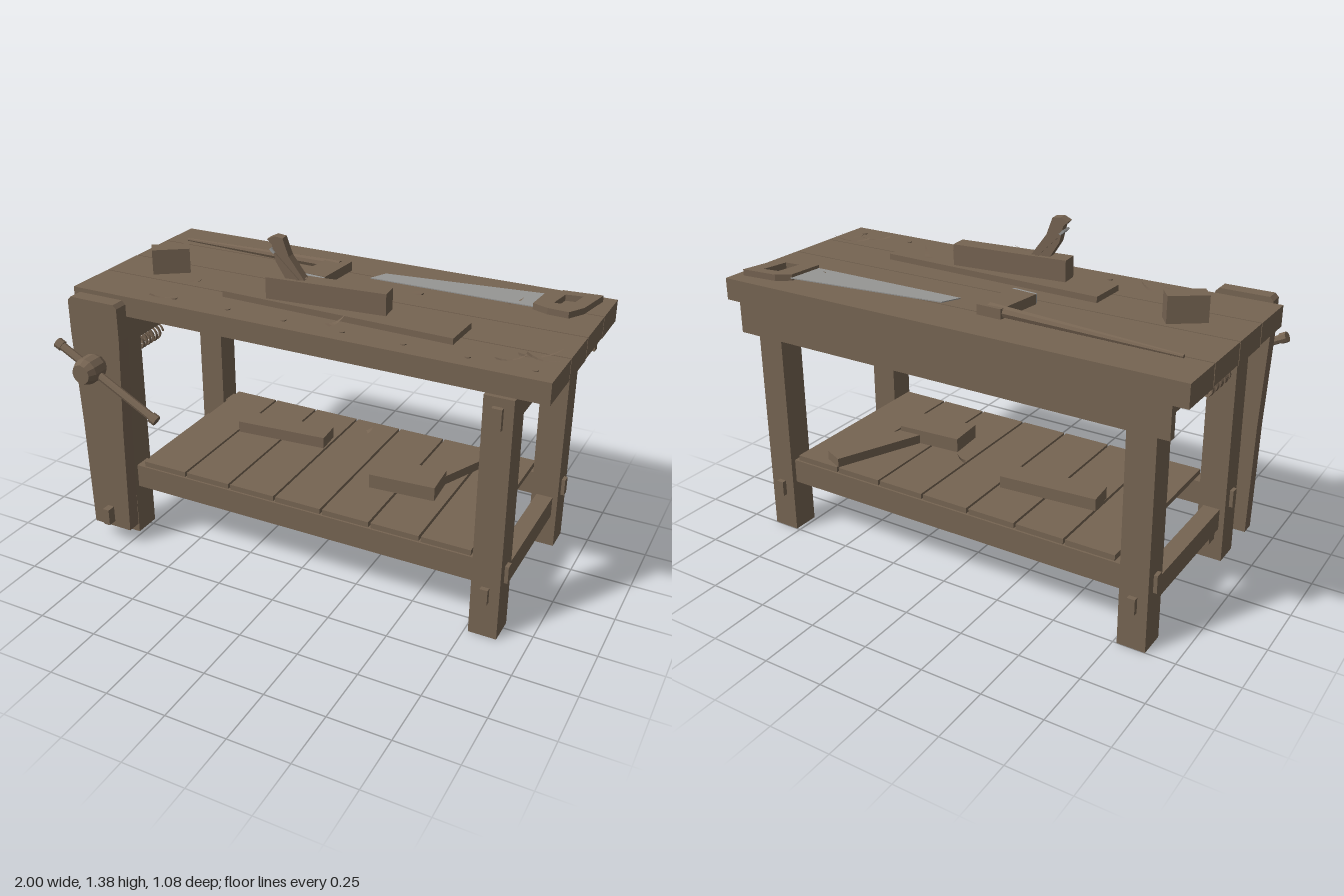
import * as THREE from 'three';

const wood = new THREE.MeshStandardMaterial({ color: 0x766452 });
wood.name = 'wood';
wood.flatShading = true;
wood.side = THREE.DoubleSide;
const steel = new THREE.MeshStandardMaterial({ color: 0x969694 });
steel.name = 'steel';
steel.side = THREE.DoubleSide;

export function createModel() {
  const bench = new THREE.Group();
  bench.name = 'workbench';

  const add = (name, geo, mat = wood, parent = bench) => {
    const m = new THREE.Mesh(geo, mat);
    m.name = name;
    parent.add(m);
    return m;
  };
  // box given by its extents
  const box = (name, x0, x1, y0, y1, z0, z1, mat = wood, parent = bench) => {
    const m = add(name, new THREE.BoxGeometry(x1 - x0, y1 - y0, z1 - z0), mat, parent);
    m.position.set((x0 + x1) / 2, (y0 + y1) / 2, (z0 + z1) / 2);
    return m;
  };
  // loose block lying on a surface, turned about y
  const block = (name, x, y, z, w, h, d, turn) => {
    const m = add(name, new THREE.BoxGeometry(w, h, d));
    m.position.set(x, y + h / 2, z);
    m.rotation.y = turn;
    return m;
  };
  const outline = (pts) => new THREE.Shape(pts.map(([x, y]) => new THREE.Vector2(x, y)));
  const extrude = (shape, depth) => new THREE.ExtrudeGeometry(shape, { depth, bevelEnabled: false });
  // plate drawn in x/z and lying flat, bottom at y
  const plate = (name, shape, y, h, mat = wood) => {
    const m = add(name, extrude(shape, h), mat);
    m.rotation.x = Math.PI / 2;
    m.position.y = y + h;
    return m;
  };
  // round bar between two points
  const bar = (name, a, b, ra, rb, sides = 8, mat = wood, parent = bench) => {
    const p = new THREE.Vector3(...a), q = new THREE.Vector3(...b), d = q.clone().sub(p);
    const m = add(name, new THREE.CylinderGeometry(rb, ra, d.length(), sides), mat, parent);
    m.position.copy(p).add(q).multiplyScalar(0.5);
    m.quaternion.setFromUnitVectors(new THREE.Vector3(0, 1, 0), d.normalize());
    return m;
  };

  // top planks
  const seams = [-0.54, -0.338, -0.113, 0.098, 0.325];
  for (let i = 0; i < 4; i++)
    box('topPlank', -1, 1, i % 2 ? 1.015 : 1.01, 1.1, seams[i] + 0.003, seams[i + 1] - 0.003);
  box('backApron', -0.94, 0.94, 0.88, 1.01, -0.532, -0.5);

  // legs, end rails and their through tenons
  for (const s of [-1, 1]) {
    const x = s * 0.823;
    box('frontLeg', x - 0.057, x + 0.057, 0, 1.01, 0.215, 0.33);
    box('backLeg', x - 0.057, x + 0.057, 0, 1.01, -0.5, -0.387);
    box('upperEndRail', x - 0.035, x + 0.035, 0.873, 0.993, -0.39, 0.22);
    box('lowerEndRail', x - 0.035, x + 0.035, 0.145, 0.235, -0.39, 0.22);
    box('upperTenon', x - 0.02, x + 0.02, 0.89, 0.975, 0.3, 0.35);
    box('lowerTenon', x - 0.016, x + 0.016, 0.157, 0.222, -0.52, 0.35);
  }

  // long stretchers with through tenons
  for (const z of [0.273, -0.443]) {
    box('longStretcher', -0.77, 0.77, 0.22, 0.322, z - 0.035, z + 0.035);
    box('stretcherTenon', -0.895, 0.895, 0.235, 0.308, z - 0.017, z + 0.017);
  }

  // shelf slats
  for (let i = 0; i < 7; i++) {
    const x = -0.735 + i * 0.2125;
    box('shelfSlat', x + 0.005, x + 0.2075, 0.322, 0.345, -0.47, 0.3);
  }

  // offcuts on the shelf
  block('longOffcut', -0.315, 0.345, -0.19, 0.41, 0.05, 0.11, 0.08);
  block('shortOffcut', 0.345, 0.345, -0.03, 0.28, 0.06, 0.155, 0.07);
  block('thinOffcut', 0.5, 0.345, -0.265, 0.4, 0.038, 0.09, 1.16);

  // vise: tapered jaw, guide bar, screw, hub and handle
  const vise = new THREE.Group();
  vise.name = 'vise';
  bench.add(vise);
  const jaw = add('viseJaw', extrude(outline([
    [-0.918, 0.07], [-0.738, 0.07], [-0.728, 0.55], [-0.71, 0.95],
    [-0.71, 1.09], [-0.725, 1.105], [-0.93, 1.105], [-0.945, 1.09], [-0.945, 0.95], [-0.928, 0.55],
  ]), 0.06), wood, vise);
  jaw.position.z = 0.37;
  box('viseGuide', -0.844, -0.814, 0.095, 0.168, 0.16, 0.468, wood, vise);
  const coil = [];
  for (let i = 0; i <= 15 * 12; i++) {
    const a = (i / 12) * Math.PI * 2;
    coil.push(new THREE.Vector3(-0.826 + 0.033 * Math.cos(a), 0.832 + 0.033 * Math.sin(a), 0.02 + i * 0.00198));
  }
  add('viseScrew', new THREE.TubeGeometry(new THREE.CatmullRomCurve3(coil), 360, 0.006, 4), wood, vise);
  const hub = add('viseHub', new THREE.LatheGeometry([
    [0, 0.43], [0.045, 0.43], [0.055, 0.45], [0.055, 0.51], [0.04, 0.54], [0, 0.54],
  ].map(([r, y]) => new THREE.Vector2(r, y)), 12), wood, vise);
  hub.rotation.x = Math.PI / 2;
  hub.position.set(-0.826, 0.832, 0);
  bar('viseHandle', [-0.965, 0.91, 0.477], [-0.53, 0.675, 0.477], 0.017, 0.017, 8, wood, vise);
  bar('handleEnd', [-0.98, 0.918, 0.477], [-0.955, 0.905, 0.477], 0.022, 0.022, 8, wood, vise);
  bar('handleEnd', [-0.545, 0.683, 0.477], [-0.52, 0.67, 0.477], 0.022, 0.022, 8, wood, vise);

  // pegs along the front plank
  for (let i = 0; i < 7; i++) {
    const x = -0.56 + i * 0.2465;
    bar('topPeg', [x, 1.09, 0.25], [x, 1.104, 0.25], 0.012, 0.012, 8);
  }

  // work piece and loose block on the top
  block('workBoard', 0.095, 1.1, 0.075, 0.99, 0.025, 0.17, -0.03);
  block('looseBlock', -0.752, 1.1, -0.016, 0.155, 0.105, 0.075, 0.62);

  // hand plane
  const plane = new THREE.Group();
  plane.name = 'handPlane';
  plane.position.set(0.035, 1.125, 0.077);
  plane.rotation.y = 0.09;
  bench.add(plane);
  box('planeBody', -0.247, 0.247, 0, 0.087, -0.038, 0.038, wood, plane);
  const wedge = add('planeWedge', extrude(outline([
    [-0.09, 0.085], [-0.155, 0.175], [-0.18, 0.245], [-0.215, 0.25], [-0.245, 0.235],
    [-0.225, 0.215], [-0.21, 0.15], [-0.17, 0.085],
  ]), 0.04), wood, plane);
  wedge.position.z = -0.02;
  const iron = box('planeIron', -0.085, 0.085, -0.004, 0.004, -0.026, 0.026, wood, plane);
  iron.position.set(-0.165, 0.135, 0);
  iron.rotation.z = -0.78;
  const tip = box('ironTip', -0.012, 0.012, -0.0045, 0.0045, -0.027, 0.027, steel, plane);
  tip.position.set(-0.222, 0.192, 0);
  tip.rotation.z = -0.78;

  // mallet lying on its side
  bar('malletHandle', [-0.9, 1.112, -0.365], [-0.12, 1.122, -0.333], 0.007, 0.024, 8);
  plate('malletHead', outline([[-0.185, -0.365], [-0.08, -0.362], [-0.095, -0.145], [-0.21, -0.155]]), 1.1, 0.04);
  plate('malletFace', outline([[-0.21, -0.155], [-0.095, -0.145], [-0.1, -0.13], [-0.205, -0.14]]), 1.102, 0.036, steel);

  // hand saw
  plate('sawBlade', outline([[0.045, -0.28], [0.08, -0.355], [0.75, -0.435], [0.75, -0.28]]), 1.112, 0.004, steel);
  const grip = outline([
    [0.735, -0.28], [0.745, -0.43], [0.8, -0.468], [0.955, -0.482],
    [0.925, -0.32], [0.885, -0.25], [0.8, -0.255],
  ]);
  grip.holes.push(new THREE.Path([[0.82, -0.425], [0.805, -0.32], [0.87, -0.325], [0.888, -0.435]]
    .map(([x, y]) => new THREE.Vector2(x, y))));
  plate('sawGrip', grip, 1.103, 0.026);

  // curled shavings: x, y, z, length, width, turn, tilt
  for (const [x, y, z, l, w, turn, tilt] of [
    [-0.53, 1.14, 0.135, 0.07, 0.025, -0.3, 0.3], [0.36, 1.18, -0.05, 0.09, 0.03, -0.8, 0.3],
    [0.13, 1.115, 0.2, 0.08, 0.03, 1.0, 0.3], [0.66, 1.115, -0.3, 0.07, 0.03, 0.8, 0.2],
    [-0.6, 1.108, 0.26, 0.12, 0.015, 0.3, 0.05], [0.82, 1.108, 0.2, 0.13, 0.02, 0.7, 0.05],
    [0.9, 1.11, 0.13, 0.16, 0.025, 0.5, 0.1], [0.92, 1.112, 0.17, 0.12, 0.02, 0.1, -0.1],
    [0.065, 0.43, -0.27, 0.05, 0.03, 0.6, 0.9], [-0.05, 1.225, 0.085, 0.15, 0.03, 0.1, -0.05],
  ]) {
    const geo = new THREE.PlaneGeometry(l, w, 6, 1).rotateX(-Math.PI / 2);
    const p = geo.attributes.position;
    for (let i = 0; i < p.count; i++) {
      const t = p.getX(i) / l;
      p.setY(i, l * 0.5 * (t * t - 0.12));
      p.setZ(i, p.getZ(i) * (0.55 - t));
    }
    geo.computeVertexNormals();
    const m = add('shaving', geo);
    m.position.set(x, y, z);
    m.rotation.set(0, turn, tilt);
  }

  return bench;
}
